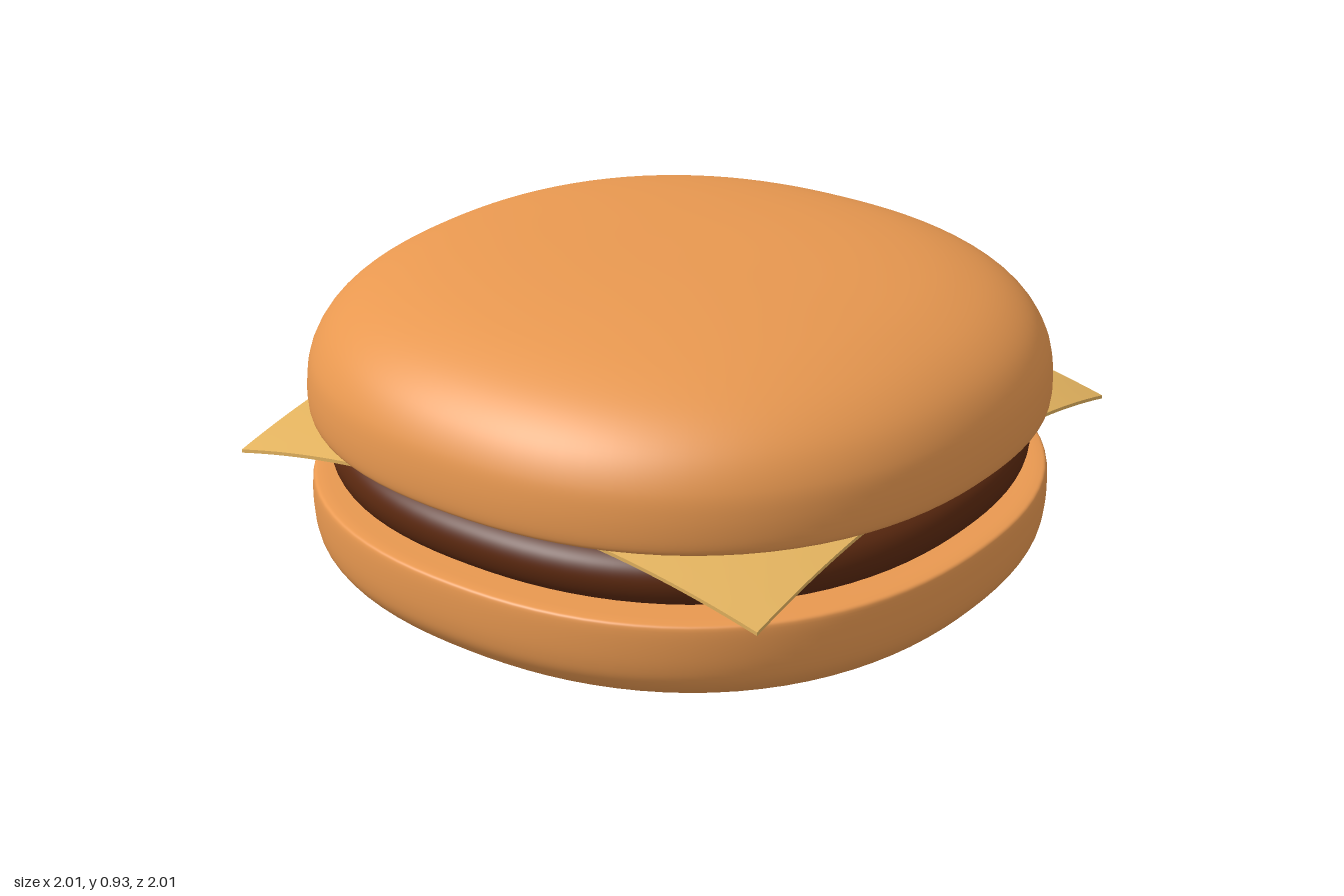
import * as THREE from 'three';
import { mergeVertices } from 'three/addons/utils/BufferGeometryUtils.js';

const material = (color) => new THREE.MeshStandardMaterial({ color, side: THREE.DoubleSide });

// Samples a smooth outline through [radius, height] points
function smoothProfile(points, samples) {
  const curve = new THREE.CatmullRomCurve3(
    points.map(([r, y]) => new THREE.Vector3(r, y, 0)), false, 'centripetal');
  return curve.getPoints(samples).map((p) => new THREE.Vector2(Math.max(p.x, 0), p.y));
}

// Turned shape whose plan is a slightly squared circle
function softDisc(name, points, color) {
  let geometry = new THREE.LatheGeometry(smoothProfile(points, 90), 96);
  const pos = geometry.attributes.position;
  const power = 2.25;
  for (let i = 0; i < pos.count; i++) {
    const x = pos.getX(i), z = pos.getZ(i);
    const r = Math.hypot(x, z);
    if (r < 1e-6) continue;
    const k = Math.pow(Math.abs(x / r) ** power + Math.abs(z / r) ** power, -1 / power);
    pos.setX(i, x * k);
    pos.setZ(i, z * k);
  }
  geometry.deleteAttribute('uv');
  geometry.deleteAttribute('normal');
  geometry = mergeVertices(geometry, 1e-5);
  geometry.computeVertexNormals();
  const mesh = new THREE.Mesh(geometry, material(color));
  mesh.name = name;
  return mesh;
}

// Thin square slice, flat in the middle with drooping corners
function cheeseSlice() {
  const size = 1.74;
  const geometry = new THREE.BoxGeometry(size, 0.01, size, 40, 1, 40);
  const pos = geometry.attributes.position;
  for (let i = 0; i < pos.count; i++) {
    const r = Math.hypot(pos.getX(i), pos.getZ(i));
    const t = Math.max(0, (r - 0.86) / 0.37);
    pos.setY(i, pos.getY(i) + 0.491 - 0.1 * Math.pow(t, 1.3));
  }
  geometry.computeVertexNormals();
  const mesh = new THREE.Mesh(geometry, material(0xe2b25e));
  mesh.name = 'cheeseSlice';
  return mesh;
}

export function createModel() {
  const group = new THREE.Group();
  group.name = 'burger';
  const bunColor = 0xe89850;

  // Bottom bun: rounded underside, straight wall, crisp upper rim
  group.add(softDisc('bottomBun', [
    [0, 0], [0.4, 0.008], [0.7, 0.023], [0.85, 0.045], [0.94, 0.085], [0.985, 0.135],
    [1, 0.19], [1, 0.295], [0.995, 0.306], [0.98, 0.31], [0.9, 0.31], [0, 0.31],
  ], bunColor));

  // Patty: flat disc with a rounded edge
  group.add(softDisc('patty', [
    [0, 0.31], [0.8, 0.31], [0.89, 0.315], [0.935, 0.342], [0.95, 0.39],
    [0.935, 0.435], [0.89, 0.464], [0.8, 0.477], [0, 0.482],
  ], 0x5a280f));

  group.add(cheeseSlice());

  // Top bun: flat base and low dome
  group.add(softDisc('topBun', [
    [0, 0.5], [0.9, 0.5], [0.975, 0.501], [0.993, 0.507], [1, 0.525], [1, 0.6],
    [0.985, 0.67], [0.94, 0.745], [0.86, 0.81], [0.73, 0.865], [0.55, 0.903],
    [0.3, 0.926], [0, 0.933],
  ], bunColor));

  return group;
}
